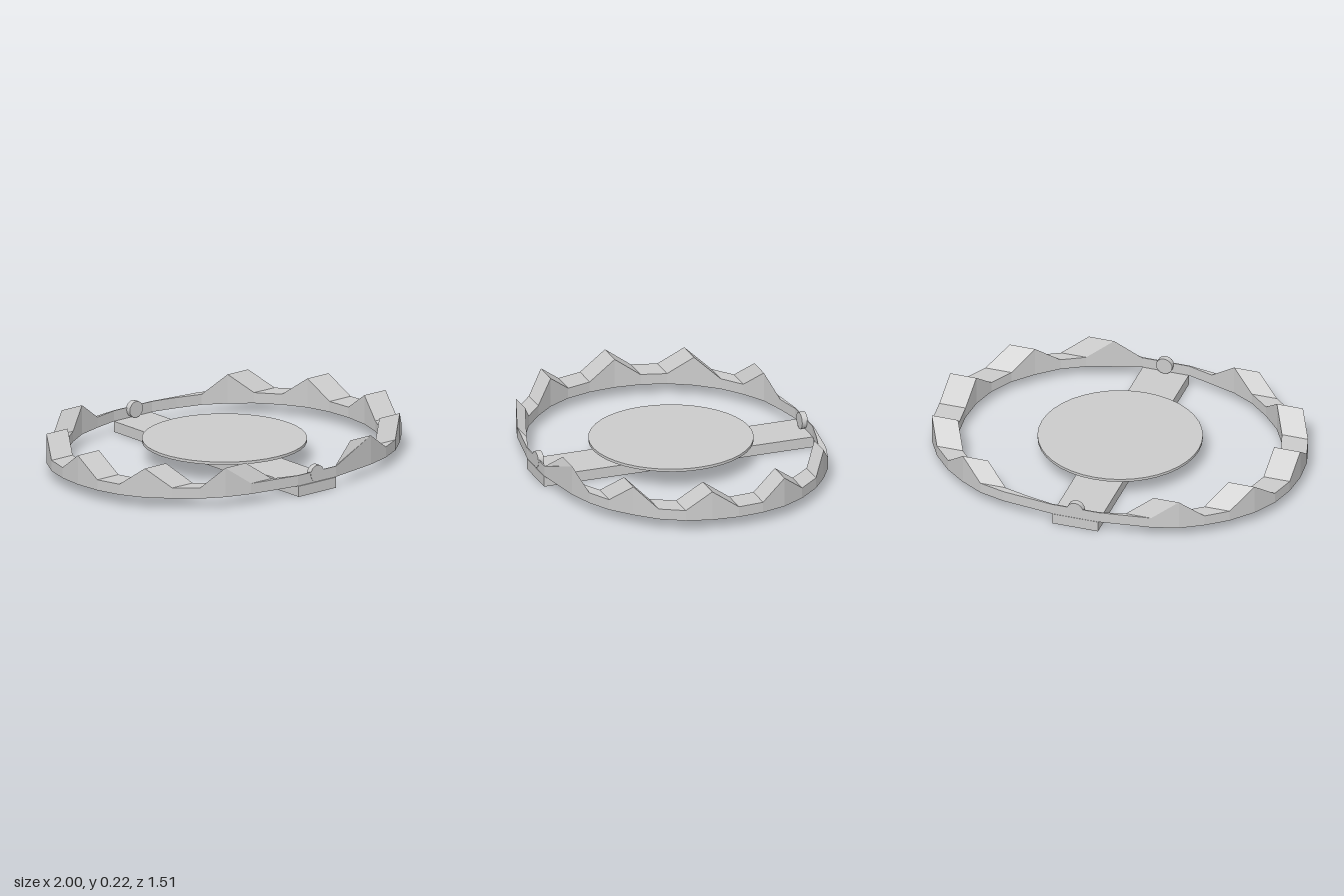
import * as THREE from 'three';

const material = new THREE.MeshStandardMaterial({ color: 0xcccccc, flatShading: true, side: THREE.DoubleSide });
const smooth = new THREE.MeshStandardMaterial({ color: 0xcccccc });

// Jaw stations from back hinge to front hinge: [outer x, z, width across x]
const stations = [
  [0, -0.757, 0], [0.13, -0.757, 0], [0.41, -0.72, 0.14], [0.55, -0.68, 0.14],
  [0.67, -0.61, 0.14], [0.78, -0.525, 0.14], [0.88, -0.41, 0.145], [0.95, -0.285, 0.145],
  [0.988, -0.15, 0.145], [1, -0.01, 0.145], [0.988, 0.135, 0.145], [0.95, 0.27, 0.145],
  [0.88, 0.395, 0.145], [0.78, 0.5, 0.14], [0.67, 0.595, 0.14], [0.55, 0.66, 0.14],
  [0.41, 0.705, 0.14], [0.13, 0.755, 0], [0, 0.755, 0],
];

// Crescent jaw: a four-cornered section swept along the stations, every third one raised to a tooth
function jaw(side, phase) {
  const positions = [];
  const index = [];
  stations.forEach(([x, z, w], i) => {
    const tooth = w > 0 && i % 3 === phase;
    const top = tooth ? 0.22 : 0.118;
    const innerZ = w > 0 ? z : z - Math.sign(z) * 0.006;
    positions.push(side * x, 0.06, z, side * x, top, z);
    positions.push(side * (x - w), top, innerZ, side * (x - w), 0.06, innerZ);
    if (i === 0) return;
    for (let k = 0; k < 4; k++) {
      const a = (i - 1) * 4 + k, b = (i - 1) * 4 + (k + 1) % 4;
      const c = b + 4, d = a + 4;
      if (side > 0) index.push(a, b, c, a, c, d);
      else index.push(a, c, b, a, d, c);
    }
  });
  const geometry = new THREE.BufferGeometry();
  geometry.setAttribute('position', new THREE.Float32BufferAttribute(positions, 3));
  geometry.setIndex(index);
  const flat = geometry.toNonIndexed();
  flat.computeVertexNormals();
  return flat;
}

export function createModel() {
  const group = new THREE.Group();
  const add = (name, geometry, mat, x = 0, y = 0, z = 0) => {
    const mesh = new THREE.Mesh(geometry, mat);
    mesh.name = name;
    mesh.position.set(x, y, z);
    group.add(mesh);
    return mesh;
  };

  // Base bar along z
  add('baseBar', new THREE.BoxGeometry(0.255, 0.058, 1.512), smooth, 0, 0.029, 0);

  // Round trigger plate
  add('triggerPlate', new THREE.CylinderGeometry(0.435, 0.435, 0.015, 40), smooth, 0, 0.1125, -0.004);

  // Toothed jaws with interleaved teeth
  add('leftJaw', jaw(1, 1), material);
  add('rightJaw', jaw(-1, 0), material);

  // Hinge pins at both ends of the bar
  for (const [name, s] of [['frontHingePin', 1], ['backHingePin', -1]]) {
    const pin = new THREE.CylinderGeometry(0.045, 0.045, 0.032, 16).rotateX(Math.PI / 2);
    add(name, pin, smooth, 0, 0.105, s * 0.741);
  }
  return group;
}
